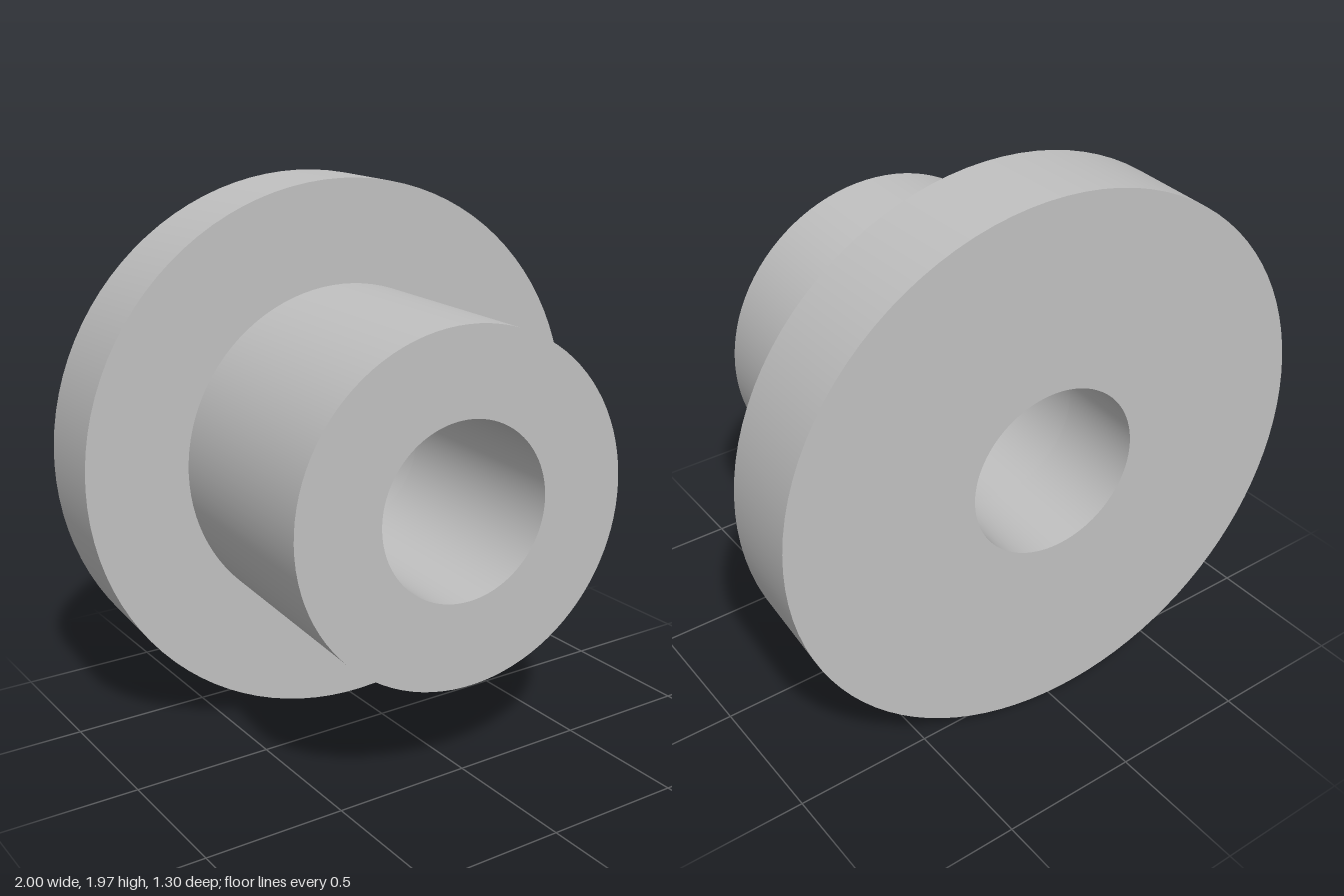
import * as THREE from 'three';
import { toCreasedNormals } from 'three/addons/utils/BufferGeometryUtils.js';

const BORE = 0.31, BARREL = 0.615, FLANGE = 0.987; // radii
const THICK = 0.347, LENGTH = 1.176;               // along the axis from the back face

export function createModel() {
  const steel = new THREE.MeshStandardMaterial({ color: 0xc0c0c0 });
  steel.name = 'plain grey';

  // Turned part: profile of [radius, distance], axis laid along +z
  const turned = (name, profile) => {
    const lathe = new THREE.LatheGeometry(profile.map(([r, d]) => new THREE.Vector2(r, d)), 96);
    const mesh = new THREE.Mesh(toCreasedNormals(lathe.rotateX(Math.PI / 2), 0.6), steel);
    mesh.name = name;
    return mesh;
  };

  const bushing = new THREE.Group();
  bushing.name = 'flangedBushing';
  bushing.add(
    // wide disc at the back, with its share of the bore
    turned('flange', [[BORE, THICK], [BORE, 0], [FLANGE, 0], [FLANGE, THICK], [BARREL, THICK]]),
    // narrower sleeve at the front, with the rest of the bore
    turned('barrel', [[BARREL, THICK], [BARREL, LENGTH], [BORE, LENGTH], [BORE, THICK]]),
  );

  // The whole part is turned slightly about the vertical
  bushing.rotation.y = -0.0785;
  bushing.position.set(0.014, 0.99, -0.574);

  const model = new THREE.Group();
  model.name = 'model';
  model.add(bushing);
  return model;
}
